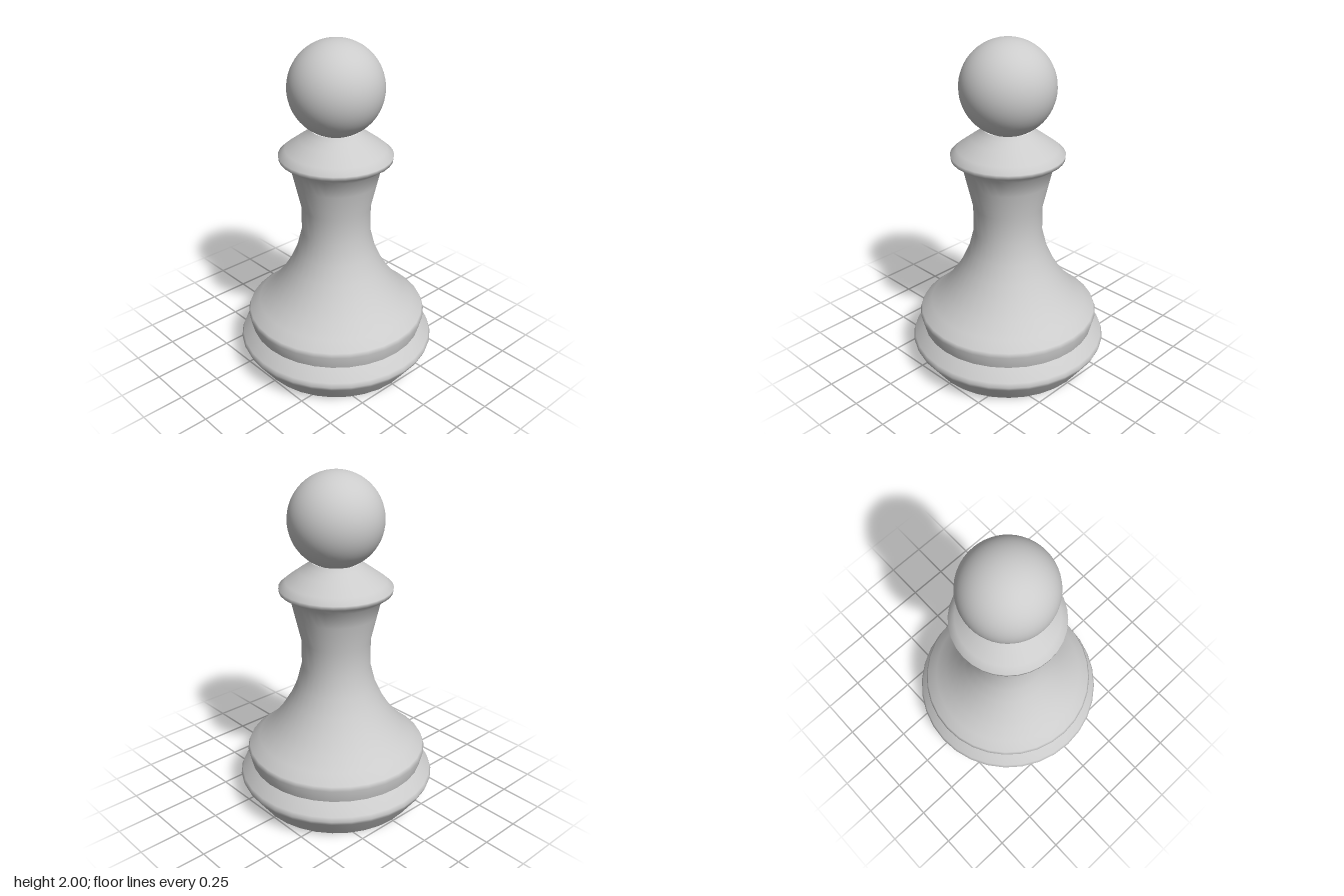
import * as THREE from 'three';

const SEGMENTS = 32;
const material = new THREE.MeshStandardMaterial({ color: 0xcccccc });

function addMesh(group, name, geometry) {
  const mesh = new THREE.Mesh(geometry, material);
  mesh.name = name;
  group.add(mesh);
  return mesh;
}

// Turned part from [radius, height] pairs, listed bottom to top
function addTurned(group, name, profile) {
  const points = profile.map(([r, y]) => new THREE.Vector2(r, y));
  return addMesh(group, name, new THREE.LatheGeometry(points, SEGMENTS));
}

export function createModel() {
  const group = new THREE.Group();
  group.name = 'pawn';

  // Flat underside
  const underside = addMesh(group, 'underside', new THREE.CircleGeometry(0.49, SEGMENTS));
  underside.rotation.set(Math.PI / 2, 0, 0);

  // Bulging foot ring
  addTurned(group, 'base', [
    [0.49, 0], [0.58, 0.125], [0.59, 0.15], [0.58, 0.175], [0.52, 0.24],
  ]);

  // Flared skirt, narrow waist, and collar in one smooth sweep
  addTurned(group, 'body', [
    [0.52, 0.24], [0.54, 0.32], [0.53, 0.345], [0.47, 0.395], [0.4, 0.46],
    [0.335, 0.545], [0.28, 0.635], [0.235, 0.735], [0.203, 0.86],
    [0.203, 1.02], [0.24, 1.18], [0.262, 1.275],
    [0.325, 1.32], [0.328, 1.345], [0.29, 1.378], [0.21, 1.437],
    [0.165, 1.468], [0.143, 1.495],
  ]);

  // Round head
  const head = addMesh(group, 'head', new THREE.SphereGeometry(0.271, 48, 32));
  head.position.y = 1.729;

  return group;
}
